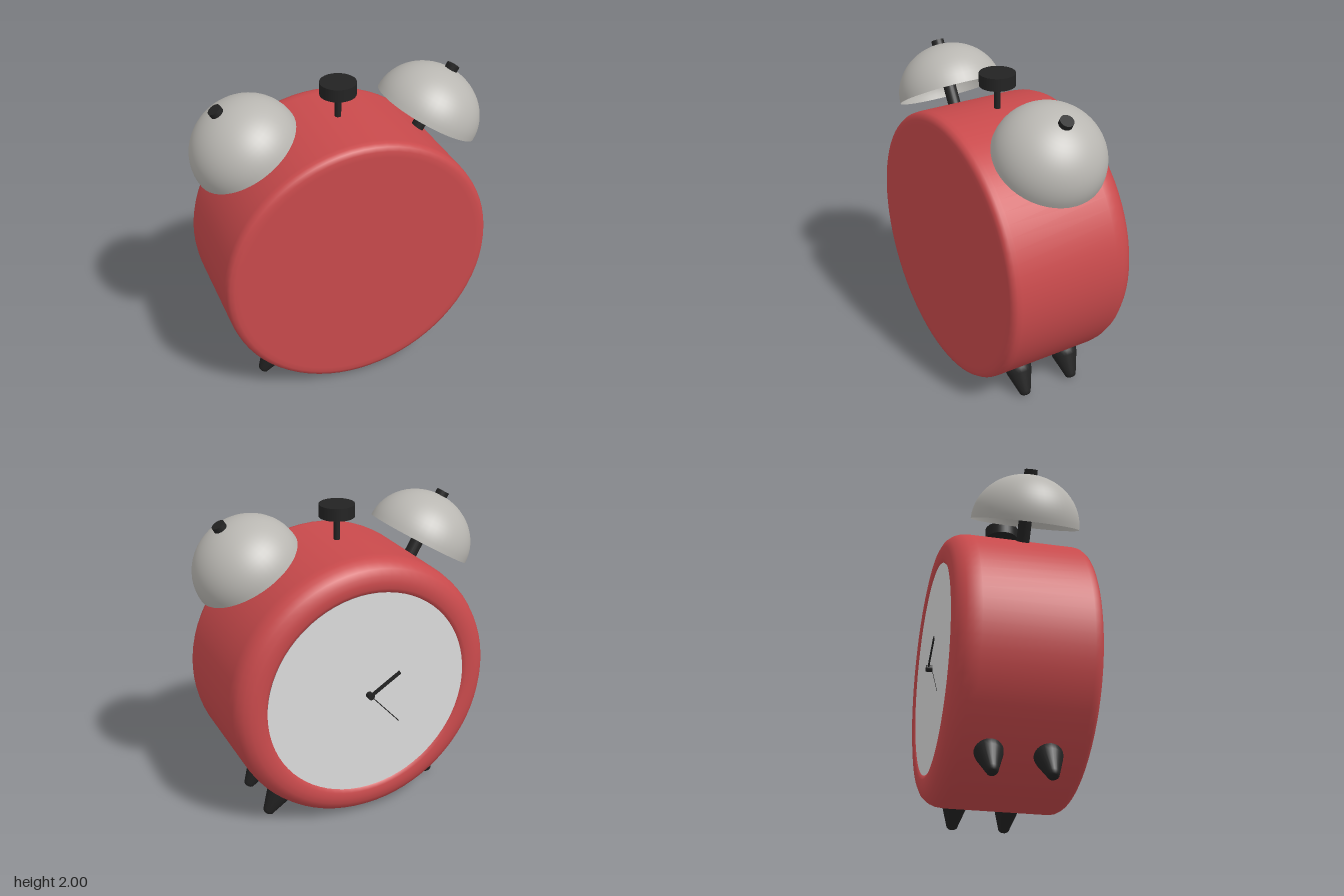
import * as THREE from 'three';

const mat = (name, color, side = THREE.FrontSide) => {
  const m = new THREE.MeshStandardMaterial({ color, side });
  m.name = name;
  return m;
};

export function createModel() {
  const red = mat('red enamel', 0xc94a4c);
  const steel = mat('bell steel', 0xb9b7b2, THREE.DoubleSide);
  const black = mat('black', 0x232323);
  const white = mat('dial white', 0xdcdcdc);

  const model = new THREE.Group();
  model.name = 'alarmClock';
  const add = (parent, name, geometry, material, x = 0, y = 0, z = 0) => {
    const mesh = new THREE.Mesh(geometry, material);
    mesh.name = name;
    mesh.position.set(x, y, z);
    parent.add(mesh);
    return mesh;
  };
  const lathe = (points, segments) =>
    new THREE.LatheGeometry(points.map(([r, y]) => new THREE.Vector2(r, y)), segments);

  const CY = 0.89; // height of the case centre

  // Round case: softly rolled bezel on the dial side, tight bevel on the other
  const caseGeometry = lathe([
    [0.675, -0.41], [0.685, -0.43], [0.71, -0.442], [0.75, -0.445], [0.79, -0.438],
    [0.83, -0.418], [0.86, -0.38], [0.875, -0.34], [0.88, -0.29], [0.88, 0.38],
    [0.876, 0.41], [0.862, 0.432], [0.835, 0.442], [0.8, 0.443], [0, 0.443],
  ], 72);
  caseGeometry.rotateX(Math.PI / 2);
  add(model, 'case', caseGeometry, red, 0, CY, 0);

  // Dial, centre pin and hands
  add(model, 'dial', new THREE.CircleGeometry(0.684, 72), white, 0, CY, -0.432).rotation.y = Math.PI;
  const pin = new THREE.CylinderGeometry(0.022, 0.022, 0.04, 16);
  pin.rotateX(Math.PI / 2);
  add(model, 'handPin', pin, black, 0, CY, -0.45);
  const hand = (name, dx, dy, width, z) => {
    const length = Math.hypot(dx, dy);
    const geometry = new THREE.BoxGeometry(length, width, 0.008);
    geometry.translate(length / 2, 0, 0);
    add(model, name, geometry, black, 0, CY, z).rotation.z = Math.atan2(dy, dx);
  };
  hand('hourHand', -0.205, 0.125, 0.024, -0.457);
  hand('minuteHand', -0.22, -0.245, 0.006, -0.429);

  // Push button on top
  add(model, 'buttonStem', new THREE.CylinderGeometry(0.02, 0.02, 0.22, 16), black, 0, 1.83, 0.03);
  add(model, 'buttonCap', new THREE.CylinderGeometry(0.113, 0.113, 0.08, 40), black, 0, 1.96, 0.03);

  // Bell dome profile, from rim to crown
  const R = 0.345, H = 0.314;
  const domeProfile = [];
  for (let i = 0; i <= 16; i++) {
    const a = (i / 16) * Math.PI / 2;
    domeProfile.push([i === 16 ? 0 : R * Math.cos(a), H * Math.sin(a)]);
  }
  const domeGeometry = lathe(domeProfile, 48);
  const rodGeometry = new THREE.CylinderGeometry(0.042, 0.042, 0.3 + H + 0.03, 20);
  rodGeometry.translate(0, (H + 0.03 - 0.3) / 2, 0);

  // Tapered foot with a rounded tip, tip at the origin
  const footGeometry = lathe([
    [0, 0], [0.022, 0.003], [0.034, 0.012], [0.04, 0.03], [0.082, 0.16], [0.087, 0.19], [0.08, 0.26],
  ], 24);

  for (const side of [1, -1]) {
    const label = side > 0 ? 'left' : 'right';

    // Bell tilted outward on its rod
    const bell = new THREE.Group();
    bell.name = label + 'Bell';
    bell.position.set(side * 0.595, 1.678, 0.04);
    bell.rotation.z = -side * 0.53;
    add(bell, label + 'BellDome', domeGeometry, steel);
    add(bell, label + 'BellRod', rodGeometry, black);
    model.add(bell);

    // Feet splayed outward
    for (const [place, z] of [['Front', 0.182], ['Back', -0.172]]) {
      add(model, label + place + 'Foot', footGeometry, black, side * 0.615, 0.013, z)
        .rotation.z = side * 0.57;
    }
  }
  return model;
}
